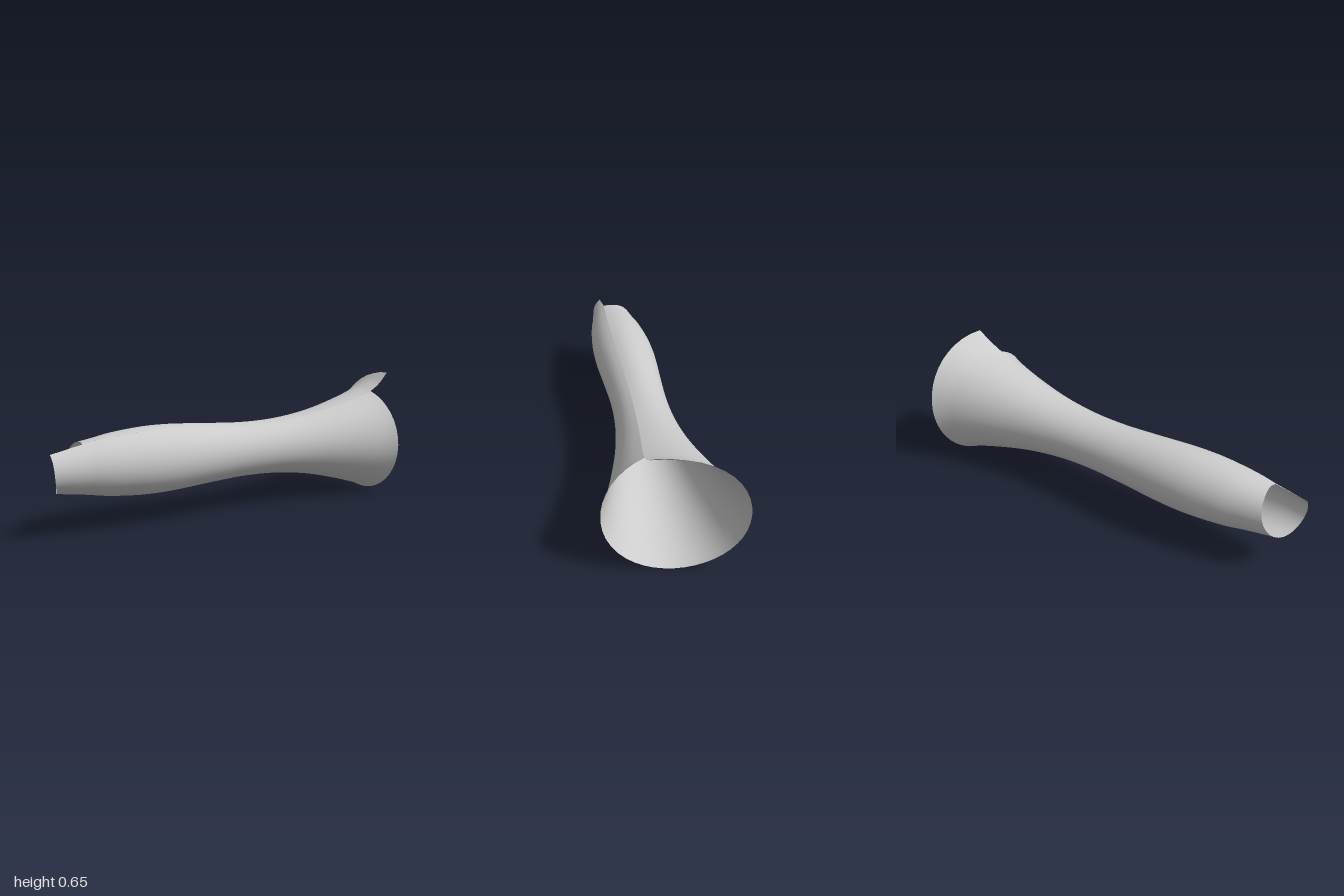
import * as THREE from 'three';

// Smooth interpolation through [position, value] keys
function curve(keys) {
  const slope = (i) => {
    const a = keys[Math.max(i - 1, 0)], b = keys[Math.min(i + 1, keys.length - 1)];
    return (b[1] - a[1]) / (b[0] - a[0]);
  };
  return (x) => {
    x = Math.min(Math.max(x, keys[0][0]), keys[keys.length - 1][0]);
    let i = 0;
    while (i < keys.length - 2 && x > keys[i + 1][0]) i++;
    const [x0, y0] = keys[i], [x1, y1] = keys[i + 1];
    const w = x1 - x0, t = (x - x0) / w, t2 = t * t, t3 = t2 * t;
    return (2 * t3 - 3 * t2 + 1) * y0 + (t3 - 2 * t2 + t) * w * slope(i)
      + (3 * t2 - 2 * t3) * y1 + (t3 - t2) * w * slope(i + 1);
  };
}

// Radius along the length: flared rear, narrow waist, swollen and tapering front
const radius = curve([[-0.98, 0.37], [-0.945, 0.344], [-0.91, 0.319], [-0.87, 0.298],
  [-0.8, 0.268], [-0.6, 0.211], [-0.4, 0.167], [-0.2, 0.142], [0, 0.136], [0.2, 0.145],
  [0.4, 0.157], [0.5, 0.159], [0.6, 0.156], [0.75, 0.141], [0.85, 0.123], [1, 0.1]]);

// Around the sheet (u = 0..1 from seam to seam): rear rim, front rim and lengthwise skew
const rearRim = curve([[0, -0.98], [0.05, -0.995], [0.16, -1], [0.3, -0.98],
  [0.55, -0.905], [0.8, -0.87], [1, -0.84]]);
const frontRim = curve([[0, 0.85], [0.06, 0.842], [0.3, 0.87], [0.56, 0.945],
  [0.8, 0.993], [1, 1]]);
const skew = curve([[0, 0], [0.05, -0.045], [0.16, -0.085], [0.3, -0.105],
  [0.55, -0.042], [0.8, 0], [1, 0]]);

// Angle of the seam in degrees, twisting slightly along the length
const seam = curve([[-1, 76], [-0.84, 67], [-0.6, 65.5], [0.6, 64.5], [0.85, 63], [1, 53]]);

// One sheet rolled once round the z axis, its rims stepping at the seam
function rolledSheet(around, along) {
  const positions = [], index = [];
  for (let j = 0; j <= along; j++) {
    for (let i = 0; i <= around; i++) {
      const u = i / around;
      const z = THREE.MathUtils.lerp(rearRim(u), frontRim(u), j / along);
      const angle = THREE.MathUtils.degToRad(seam(z) + 360 * u);
      const r = radius(z - skew(u));
      positions.push(r * Math.cos(angle), 0.299 + r * Math.sin(angle), z);
      if (i < around && j < along) {
        const a = j * (around + 1) + i, b = a + around + 1;
        index.push(a, a + 1, b, a + 1, b + 1, b);
      }
    }
  }
  const geometry = new THREE.BufferGeometry();
  geometry.setAttribute('position', new THREE.Float32BufferAttribute(positions, 3));
  geometry.setIndex(index);
  geometry.computeVertexNormals();
  return geometry;
}

export function createModel() {
  const group = new THREE.Group();
  group.name = 'flaredTube';
  const material = new THREE.MeshStandardMaterial({ color: 0xcccccc, side: THREE.DoubleSide });
  const sheet = new THREE.Mesh(rolledSheet(40, 64), material);
  sheet.name = 'rolledTubeWall';
  group.add(sheet);
  return group;
}
